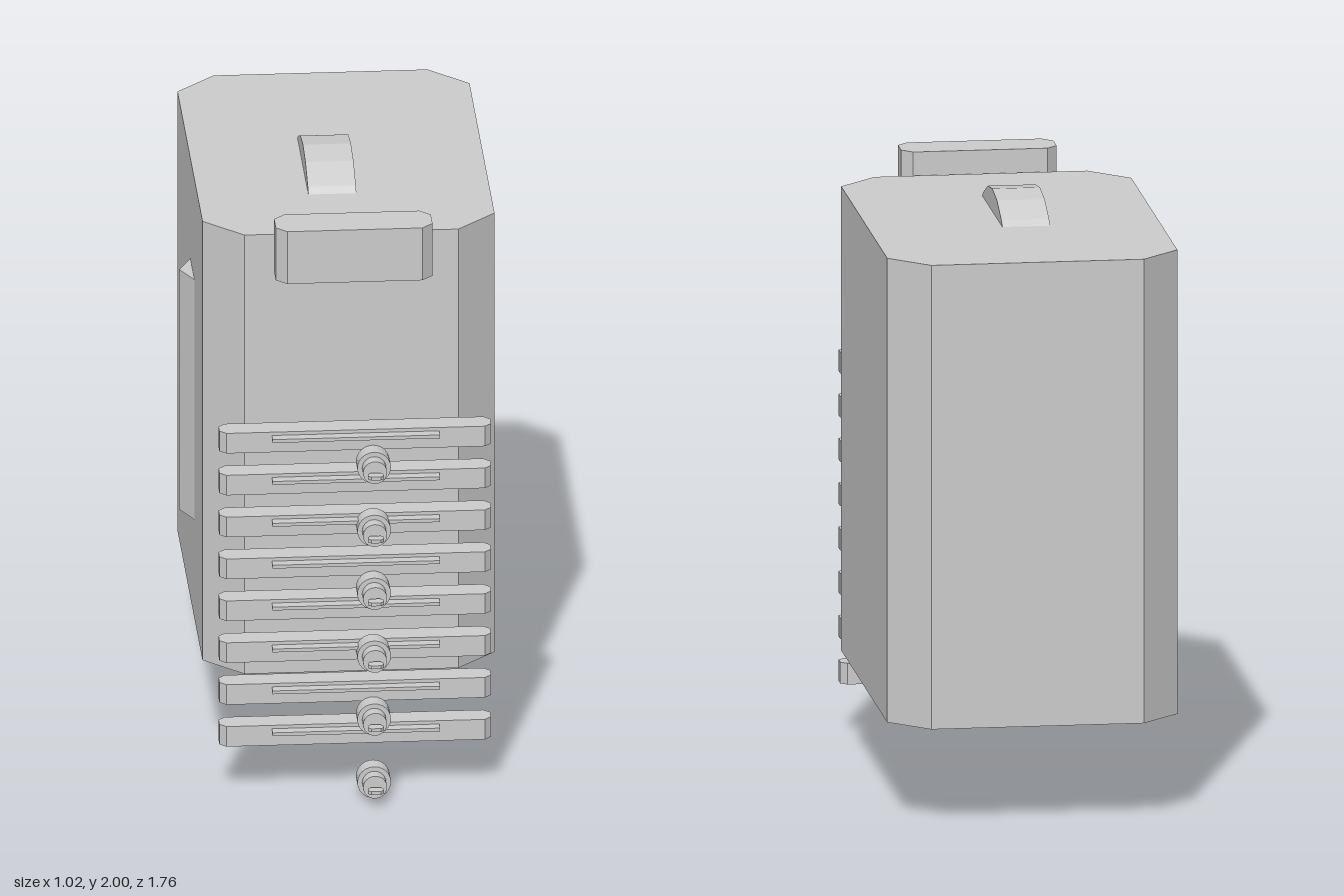
import * as THREE from 'three';

const grey = new THREE.MeshStandardMaterial({ color: 0xcccccc, flatShading: true });
grey.name = 'plain grey';

function part(name, geometry, parent) {
  const mesh = new THREE.Mesh(geometry, grey);
  mesh.name = name;
  parent.add(mesh);
  return mesh;
}

// Upright prism from an outline of [x, z] points
function prism(outline, y0, y1) {
  const shape = new THREE.Shape(outline.map(([x, z]) => new THREE.Vector2(x, -z)));
  const geometry = new THREE.ExtrudeGeometry(shape, { depth: y1 - y0, bevelEnabled: false });
  return geometry.rotateX(-Math.PI / 2).translate(0, y0, 0);
}

// Block whose four upright edges are cut off by c
function cutBlock(x0, x1, y0, y1, z0, z1, c) {
  return prism([
    [x0 + c, z1], [x1 - c, z1], [x1, z1 - c], [x1, z0 + c],
    [x1 - c, z0], [x0 + c, z0], [x0, z0 + c], [x0, z1 - c],
  ], y0, y1);
}

// Cylinder lying along z from z0 to z1
function discZ(r, z0, z1) {
  return new THREE.CylinderGeometry(r, r, z1 - z0, 24)
    .rotateX(Math.PI / 2).translate(0, 0, (z0 + z1) / 2);
}

export function createModel() {
  const model = new THREE.Group();
  model.name = 'cabinet';

  part('body', cutBlock(-0.466, 0.507, 0.345, 1.923, -0.88, 0.51, 0.13), model);
  part('headPlate', cutBlock(-0.241, 0.281, 1.812, 2, 0.527, 0.677, 0.036), model);
  part('sideRidge', prism([[-0.46, 0.03], [-0.46, -0.182], [-0.51, -0.076]], 0.70, 1.563), model);

  // Arched handle: top slice of a 24-sided drum
  const R = 0.444, base = 1.92, mid = -0.073;
  const arc = [[0.252, base]];
  for (let i = 2; i >= -2; i--) {
    const a = i * Math.PI / 12;
    arc.push([R * Math.sin(a), 2 - R + R * Math.cos(a)]);
  }
  arc.push([-0.252, base]);
  const arch = new THREE.Shape(arc.map(([z, y]) => new THREE.Vector2(-z, y)));
  const handle = new THREE.ExtrudeGeometry(arch, { depth: 0.16, bevelEnabled: false });
  handle.rotateY(Math.PI / 2).translate(-0.098, 0, mid);
  part('topHandle', handle, model);

  // Front slats, each with a thin raised strip
  for (let i = 0; i < 8; i++) {
    const slat = new THREE.Group();
    slat.name = 'slat' + (i + 1);
    slat.position.y = 0.208 + i * 0.1506;
    part('slatBar', cutBlock(-0.433, 0.472, -0.036, 0.036, 0.635, 0.719, 0.022), slat);
    const strip = new THREE.BoxGeometry(0.558, 0.012, 0.036);
    part('slatStrip', strip, slat).position.set(0.019, 0.018, 0.737);
    model.add(slat);
  }

  // Stepped knobs with a small floating tab in front
  for (let i = 0; i < 6; i++) {
    const knob = new THREE.Group();
    knob.name = 'knob' + (i + 1);
    knob.position.set(0.076, 0.056 + i * 0.2262, 0);
    part('knobBase', discZ(0.056, 0.723, 0.785), knob);
    part('knobCap', discZ(0.04, 0.78, 0.829), knob);
    part('knobTab', cutBlock(-0.026, 0.026, -0.006, 0.006, 0.844, 0.88, 0.01), knob);
    model.add(knob);
  }
  return model;
}
